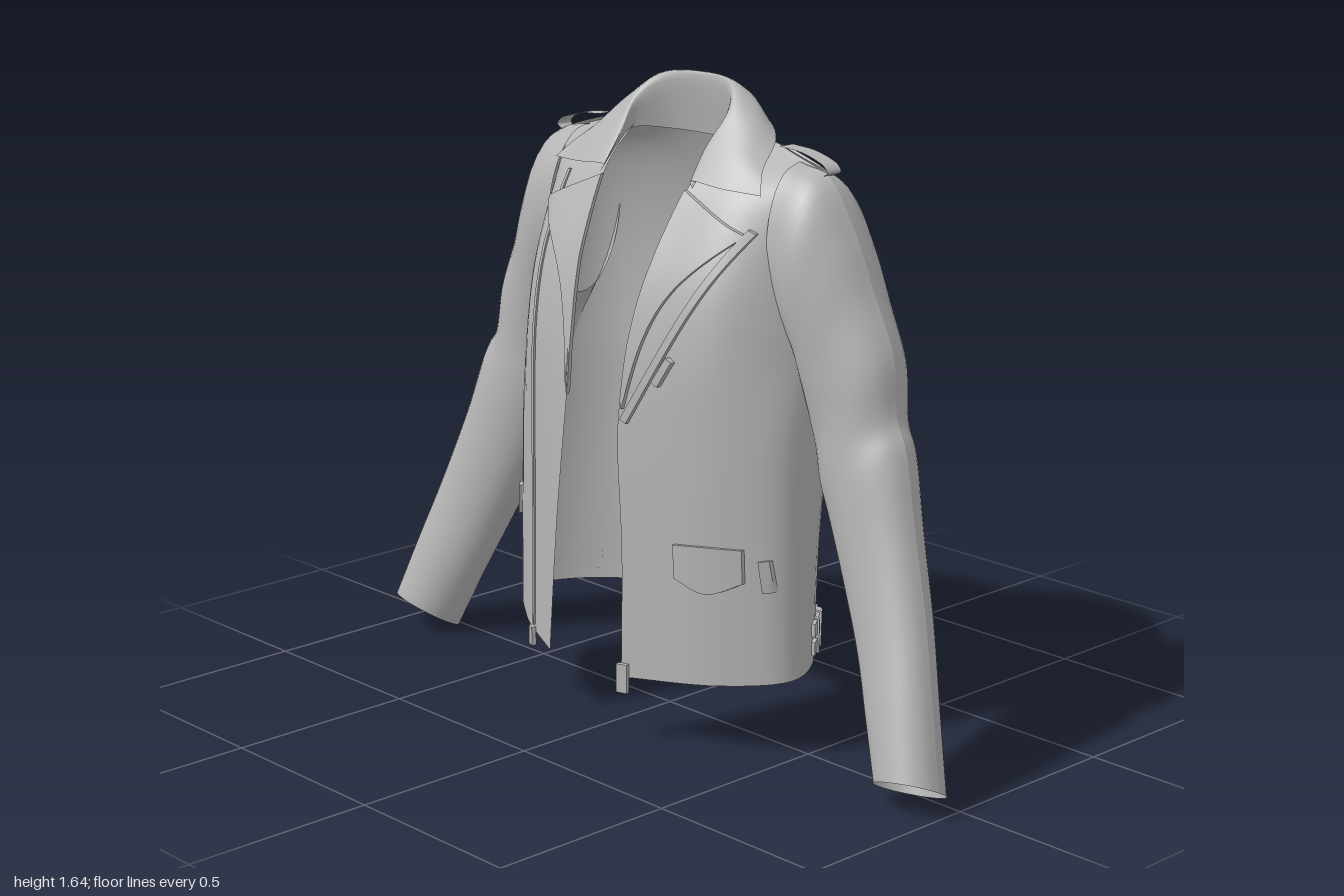
import * as THREE from 'three';
import { toCreasedNormals } from 'three/addons/utils/BufferGeometryUtils.js';

const leather = new THREE.MeshStandardMaterial({ color: 0xb4b4b4, side: THREE.DoubleSide });
leather.name = 'grey leather';

// Indexed sheet from a function giving the point at column i, row j
function sheet(nu, nv, pointAt) {
  const pos = [], idx = [];
  for (let j = 0; j <= nv; j++)
    for (let i = 0; i <= nu; i++) pos.push(...pointAt(i, j).toArray());
  for (let j = 0; j < nv; j++)
    for (let i = 0; i < nu; i++) {
      const a = j * (nu + 1) + i, b = a + nu + 1;
      idx.push(a, a + 1, b, b, a + 1, b + 1);
    }
  const g = new THREE.BufferGeometry();
  g.setAttribute('position', new THREE.Float32BufferAttribute(pos, 3));
  g.setIndex(idx);
  g.computeVertexNormals();
  return g;
}

// Smooth surface through rows of control points
function loft(rows, nu, nv) {
  const spline = (pts) => new THREE.CatmullRomCurve3(pts, false, 'catmullrom', 0.5);
  const across = rows.map((r) => spline(r.map((p) => new THREE.Vector3(...p))).getPoints(nu));
  const columns = across[0].map((_, i) => spline(across.map((r) => r[i])).getPoints(nv));
  return sheet(nu, nv, (i, j) => columns[i][j]);
}

function part(name, geometry) {
  const m = new THREE.Mesh(geometry, leather);
  m.name = name;
  return m;
}

function box(name, w, h, d, x, y, z, ry) {
  const m = part(name, new THREE.BoxGeometry(w, h, d));
  m.position.set(x, y, z);
  m.rotation.y = ry;
  return m;
}

// Point lying on a mesh, seen along an axis ('z': u = x, 'x': u = z), raised by off
const caster = new THREE.Raycaster();
function drape(mesh, axis, s, u, v, off) {
  for (let k = 0; k < 12; k++) {
    const t = u + (axis === 'z' ? Math.sign(u) * k * 0.006 : 0);
    const from = axis === 'z' ? new THREE.Vector3(t, v, 2 * s) : new THREE.Vector3(2 * s, v, t);
    const dir = axis === 'z' ? new THREE.Vector3(0, 0, -s) : new THREE.Vector3(-s, 0, 0);
    caster.set(from, dir);
    const hit = caster.intersectObject(mesh)[0];
    if (!hit || s * hit.point[axis] < -0.1) continue;
    const p = hit.point.clone();
    p[axis] += s * off;
    if (axis === 'z') p.x = u;
    return p;
  }
  return axis === 'z' ? new THREE.Vector3(u, v, 0.1 * s) : new THREE.Vector3(0.45 * s, v, u);
}

// Thin raised patch between two outlines, following the surface beneath
function patch(name, mesh, A, B, off, axis = 'z', s = 1, nu = 8, nv = 16) {
  const curve = (pts) => new THREE.SplineCurve(pts.map((p) => new THREE.Vector2(...p)));
  const a = curve(A), b = curve(B);
  const g = sheet(nu + 2, nv + 2, (i, j) => {
    const u = THREE.MathUtils.clamp((i - 1) / nu, 0, 1);
    const v = THREE.MathUtils.clamp((j - 1) / nv, 0, 1);
    const p = a.getPoint(v).lerp(b.getPoint(v), u);
    const rim = i === 0 || j === 0 || i === nu + 2 || j === nv + 2;
    return drape(mesh, axis, s, p.x, p.y, rim ? 0 : off);
  });
  return part(name, toCreasedNormals(g, 0.7));
}

// Narrow strip around a straight line
function strip(name, mesh, [x0, y0], [x1, y1], w, off, axis, s) {
  const l = Math.hypot(x1 - x0, y1 - y0), nx = (-(y1 - y0) / l) * w / 2, ny = ((x1 - x0) / l) * w / 2;
  return patch(name, mesh, [[x0 + nx, y0 + ny], [x1 + nx, y1 + ny]],
    [[x0 - nx, y0 - ny], [x1 - nx, y1 - ny]], off, axis, s, 2, 20);
}

const flip = ([x, y, z]) => [-x, y, z];

function makeBody() {
  // each row: left edge, chest, side, back quarter, back centre, then right edge x
  const rows = [
    [[0.11, 0.17, 0.272], [0.365, 0.19, 0.175], [0.498, 0.21, 0.035], [0.34, 0.22, -0.165], [0, 0.225, -0.25], 0.16],
    [[0.105, 0.5, 0.264], [0.36, 0.5, 0.175], [0.49, 0.5, 0.035], [0.345, 0.5, -0.18], [0, 0.5, -0.268], 0.14],
    [[0.085, 0.8, 0.258], [0.355, 0.8, 0.175], [0.48, 0.8, 0.02], [0.355, 0.8, -0.205], [0, 0.8, -0.279], 0.11],
    [[0.1, 1.0, 0.236], [0.35, 1.0, 0.168], [0.475, 1.0, -0.03], [0.365, 1.0, -0.22], [0, 1.0, -0.28], 0.105],
    [[0.12, 1.17, 0.195], [0.345, 1.17, 0.14], [0.47, 1.17, -0.06], [0.375, 1.17, -0.213], [0, 1.17, -0.272], 0.12],
    [[0.14, 1.32, 0.125], [0.335, 1.32, 0.085], [0.465, 1.32, -0.065], [0.365, 1.32, -0.19], [0, 1.32, -0.24], 0.14],
    [[0.155, 1.42, 0.062], [0.325, 1.415, 0.025], [0.46, 1.405, -0.07], [0.33, 1.425, -0.155], [0, 1.44, -0.198], 0.155],
    [[0.165, 1.515, -0.05], [0.31, 1.496, -0.094], [0.46, 1.455, -0.085], [0.31, 1.498, -0.082], [0, 1.56, -0.15], 0.165],
  ];
  return part('body', loft(rows.map(([e, f, s, b, c, xr]) =>
    [e, f, s, b, c, flip(b), flip(s), flip(f), [-xr, e[1], e[2]]]), 64, 56));
}

function makeSleeve() {
  // each section: outer x y, inner x y, centre z, depth radius, forward tilt
  const sections = [
    [0.38, 1.47, 0.41, 1.02, -0.068, 0.125, 0],
    [0.485, 1.44, 0.45, 0.96, -0.07, 0.134, 0],
    [0.56, 1.32, 0.46, 0.89, -0.077, 0.13, 0],
    [0.62, 1.18, 0.47, 0.82, -0.083, 0.123, 0],
    [0.685, 1.04, 0.48, 0.76, -0.082, 0.114, 0],
    [0.708, 0.9, 0.5, 0.69, -0.072, 0.107, 0],
    [0.752, 0.82, 0.542, 0.6, -0.06, 0.102, 0],
    [0.805, 0.65, 0.61, 0.46, -0.036, 0.092, 0.005],
    [0.875, 0.45, 0.685, 0.31, -0.003, 0.085, 0.015],
    [0.938, 0.26, 0.75, 0.17, 0.037, 0.082, 0.03],
    [0.998, 0.07, 0.815, 0.03, 0.075, 0.082, 0.043],
  ];
  const n = 16;
  const rows = sections.map(([xo, yo, xi, yi, zc, rz, tilt]) =>
    Array.from({ length: n + 1 }, (_, k) => {
      const a = (k / n) * Math.PI * 2, c = Math.cos(a) / 2, sn = Math.sin(a);
      return [(xo + xi) / 2 + (xo - xi) * c, (yo + yi) / 2 + (yo - yi) * c + tilt * sn, zc + rz * sn];
    }));
  return loft(rows, 40, 60);
}

function makeCollar() {
  // each station: neck seam, fold, middle of the fall, outer edge
  const half = [
    [[0.165, 1.395, 0.082], [0.162, 1.412, 0.08], [0.26, 1.405, 0.075], [0.37, 1.4, 0.052]],
    [[0.165, 1.45, 0.03], [0.157, 1.495, 0.022], [0.24, 1.49, 0.015], [0.33, 1.452, 0.005]],
    [[0.165, 1.49, -0.03], [0.165, 1.572, -0.04], [0.225, 1.56, -0.065], [0.28, 1.513, -0.09]],
    [[0.11, 1.485, -0.11], [0.115, 1.622, -0.09], [0.15, 1.605, -0.13], [0.168, 1.55, -0.155]],
  ];
  const back = [[0, 1.48, -0.14], [0, 1.63, -0.12], [0, 1.615, -0.155], [0, 1.568, -0.177]];
  const rows = [...half, back, ...half.map((r) => r.map(flip)).reverse()];
  return part('collar', loft(rows, 18, 56));
}

// Strap lying along the shoulder and tucked under at its outer end
function makeShoulderStrap(s) {
  const path = [[0.325, 1.502], [0.4, 1.496], [0.465, 1.477], [0.485, 1.457], [0.465, 1.445]];
  return loft(path.map(([x, y]) => [[s * x, y, -0.103], [s * x, y, -0.055]]), 2, 24);
}

export function createModel() {
  const jacket = new THREE.Group();
  jacket.name = 'jacket';
  const body = makeBody();
  jacket.add(body, makeCollar());

  const leftSleeve = makeSleeve();
  const rightSleeve = leftSleeve.clone().scale(-1, 1, 1);
  rightSleeve.setIndex(Array.from(leftSleeve.index.array).reverse());
  rightSleeve.computeVertexNormals();

  for (const s of [1, -1]) {
    const side = s > 0 ? 'left' : 'right';
    const m = (pts) => pts.map(([x, y]) => [s * x, y]);
    const sleeve = part(side + 'Sleeve', s > 0 ? leftSleeve : rightSleeve);
    jacket.add(sleeve);

    // lapel folded back from the opening
    jacket.add(patch(side + 'Lapel', body,
      m([[0.095, 0.88], [0.105, 1.05], [0.125, 1.21], [0.15, 1.39]]),
      m([[0.1, 0.86], [0.145, 1.04], [0.215, 1.17], [0.355, 1.305]]), 0.01, 'z', 1, 12, 24));

    // shoulder strap
    jacket.add(part(side + 'ShoulderStrap', makeShoulderStrap(s)));

    // side pocket zip pull and cuff zip
    jacket.add(strip(side + 'PocketPull', body, [s * 0.455, 0.52], [s * 0.465, 0.44], 0.02, 0.012));
    jacket.add(strip(side + 'CuffZip', sleeve, [s * 0.82, 0.3], [s * 0.875, 0.13], 0.014, 0.007, 'z', -1));

    // paired waist straps with buckles
    for (const y of [0.262, 0.31]) {
      jacket.add(strip(side + 'WaistStrap', body, [-0.04, y], [-0.16, y], 0.034, 0.012, 'x', s));
      jacket.add(strip(side + 'WaistBuckle', body, [-0.125, y - 0.022], [-0.125, y + 0.022], 0.022, 0.022, 'x', s));
      jacket.add(strip(side + 'StrapKeeper', body, [-0.075, y - 0.02], [-0.075, y + 0.02], 0.012, 0.018, 'x', s));
    }
  }

  // zips on the front panels
  jacket.add(
    strip('diagonalZip', body, [0.365, 1.315], [0.105, 0.83], 0.02, 0.01),
    strip('chestPull', body, [0.23, 1.0], [0.193, 0.935], 0.02, 0.014),
    strip('frontZip', body, [-0.295, 1.38], [-0.28, 0.2], 0.012, 0.006),
    box('rightZipPull', 0.025, 0.05, 0.012, -0.28, 0.17, 0.228, -0.4),
    box('leftZipPull', 0.03, 0.075, 0.012, 0.118, 0.17, 0.275, 0.3));

  // pocket flap
  jacket.add(patch('pocketFlap', body, [[0.25, 0.54], [0.33, 0.545], [0.412, 0.545]],
    [[0.255, 0.455], [0.335, 0.425], [0.415, 0.46]], 0.01));

  return jacket;
}
